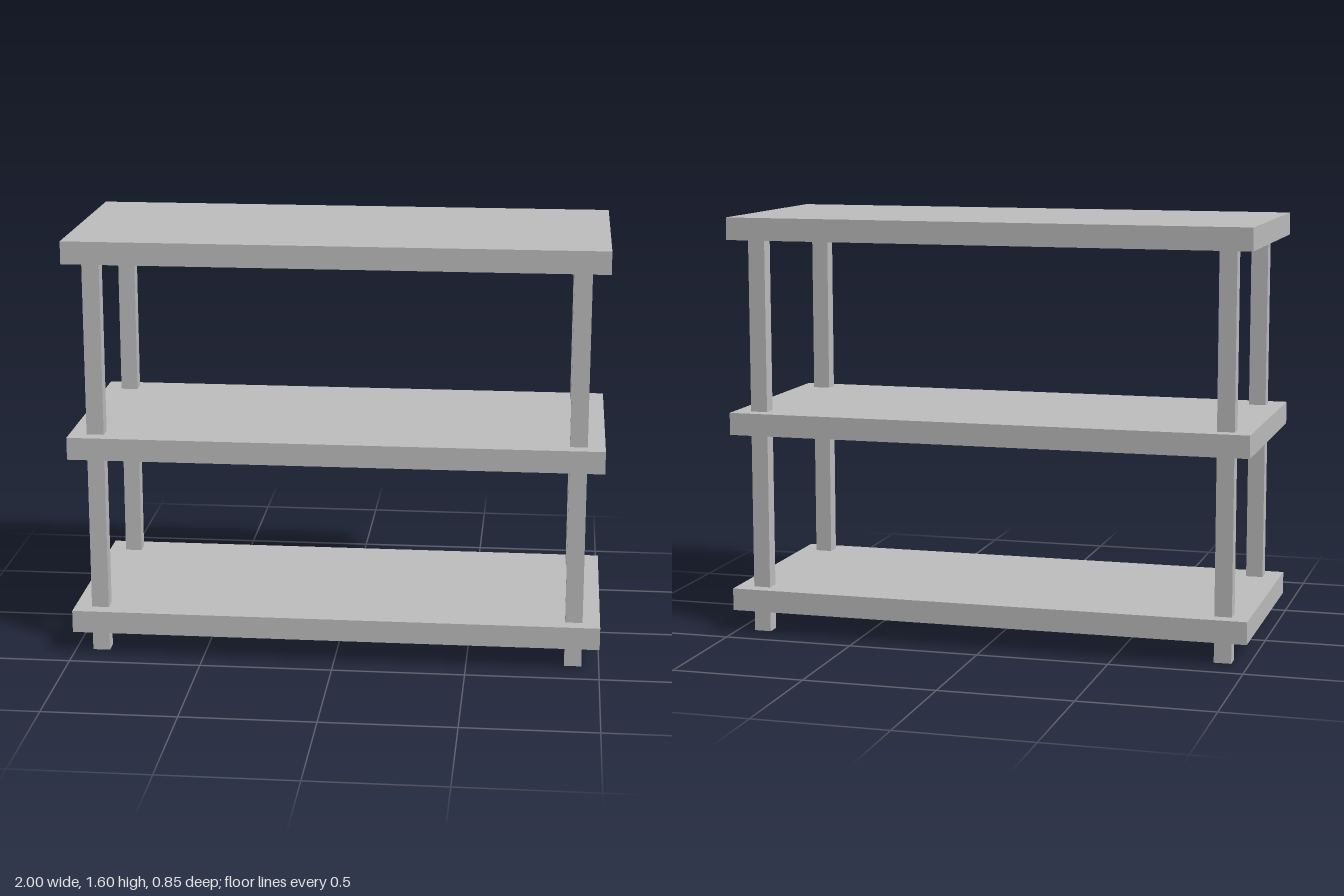
import * as THREE from 'three';

export function createModel() {
  const model = new THREE.Group();
  model.name = 'shelfUnit';
  const grey = new THREE.MeshStandardMaterial({ color: 0xbfbfbf });
  grey.name = 'grey';

  const addBox = (name, [w, h, d], [x, y, z]) => {
    const mesh = new THREE.Mesh(new THREE.BoxGeometry(w, h, d), grey);
    mesh.name = name;
    mesh.position.set(x, y, z);
    model.add(mesh);
  };

  // Three equal shelves, placed by their top faces
  const thickness = 0.085;
  const shelves = { bottomShelf: 0.174, middleShelf: 0.859, topShelf: 1.602 };
  for (const [name, top] of Object.entries(shelves)) {
    addBox(name, [2, thickness, 0.853], [0, top - thickness / 2, 0]);
  }

  // Four corner posts, from the floor up into the top shelf
  const postHeight = 1.55;
  for (const [side, x] of [['Left', 0.902], ['Right', -0.902]]) {
    for (const [end, z] of [['front', 0.343], ['back', -0.343]]) {
      addBox(`${end}${side}Post`, [0.065, postHeight, 0.057], [x, postHeight / 2, z]);
    }
  }
  return model;
}
